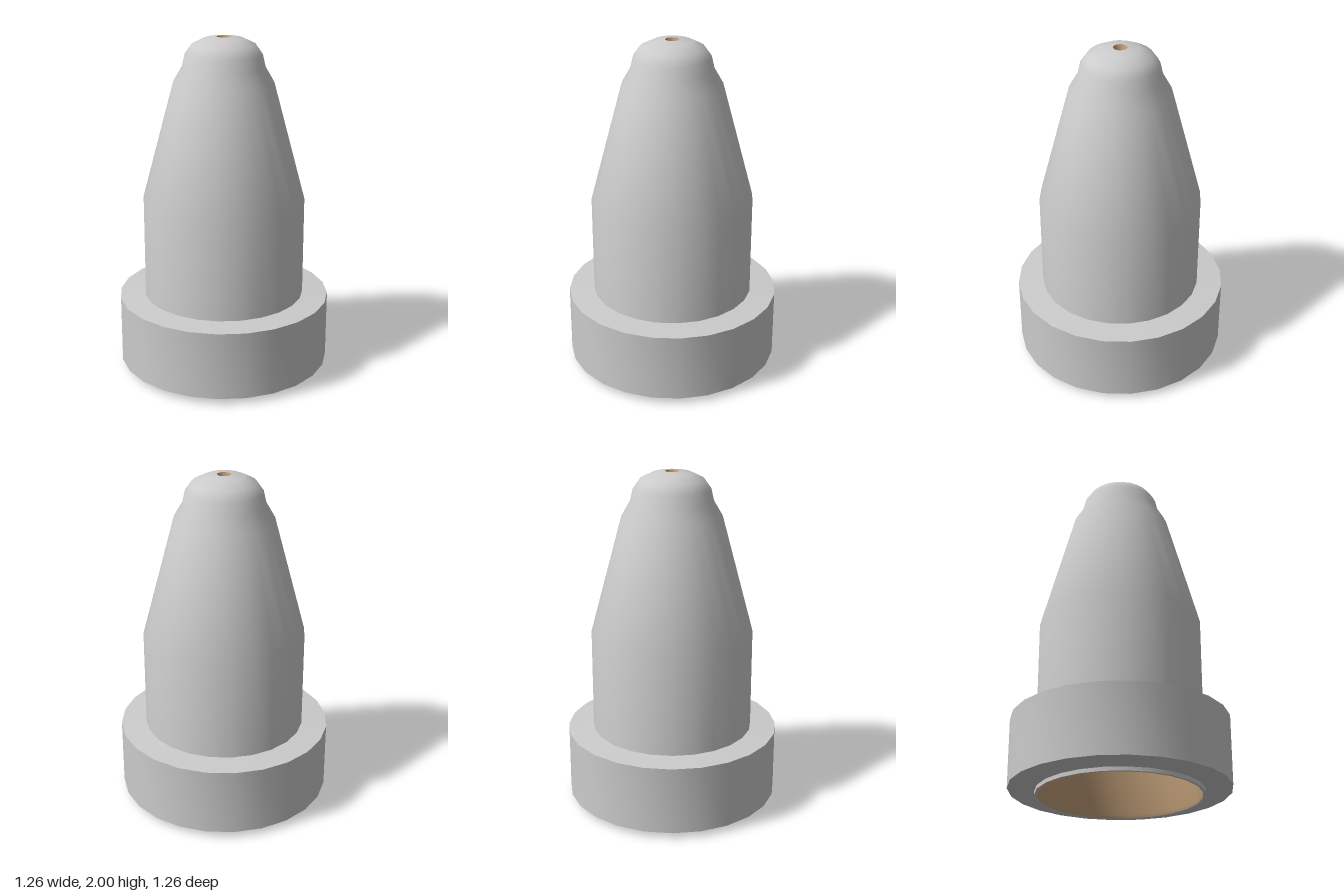
import * as THREE from 'three';
import { toCreasedNormals } from 'three/addons/utils/BufferGeometryUtils.js';

const SEGMENTS = 24;
const grey = new THREE.MeshStandardMaterial({ color: 0xcccccc });
const tan = new THREE.MeshStandardMaterial({ color: 0xbe9c76 });

// Turned part from [radius, height] pairs; an upward profile faces outward
function turned(name, profile, material) {
  const points = profile.map(([r, y]) => new THREE.Vector2(r, y));
  const geometry = toCreasedNormals(new THREE.LatheGeometry(points, SEGMENTS), 0.6);
  const mesh = new THREE.Mesh(geometry, material);
  mesh.name = name;
  return mesh;
}

export function createModel() {
  const group = new THREE.Group();
  group.name = 'nozzle';

  // Outer shell: thin bottom rim, straight barrel, taper and rounded tip
  group.add(turned('body', [
    [0.465, 0], [0.48, 0], [0.48, 1.04], [0.292, 1.74], [0.24, 1.83],
    [0.224, 1.9], [0.185, 1.955], [0.115, 1.99], [0.04, 2],
  ], grey));

  // Wide ring around the base, its end faces slightly dished
  group.add(turned('collar', [
    [0.478, 0.022], [0.632, 0.035], [0.632, 0.44], [0.478, 0.45],
  ], grey));

  // Hollow inside: countersunk outlet, tapered chamber, ledge and wide socket
  group.add(turned('bore', [
    [0.04, 2], [0.025, 1.95], [0.025, 1.88], [0.18, 1.7], [0.29, 1.1],
    [0.29, 0.35], [0.46, 0.35], [0.46, 0.02], [0.465, 0],
  ], tan));

  return group;
}
